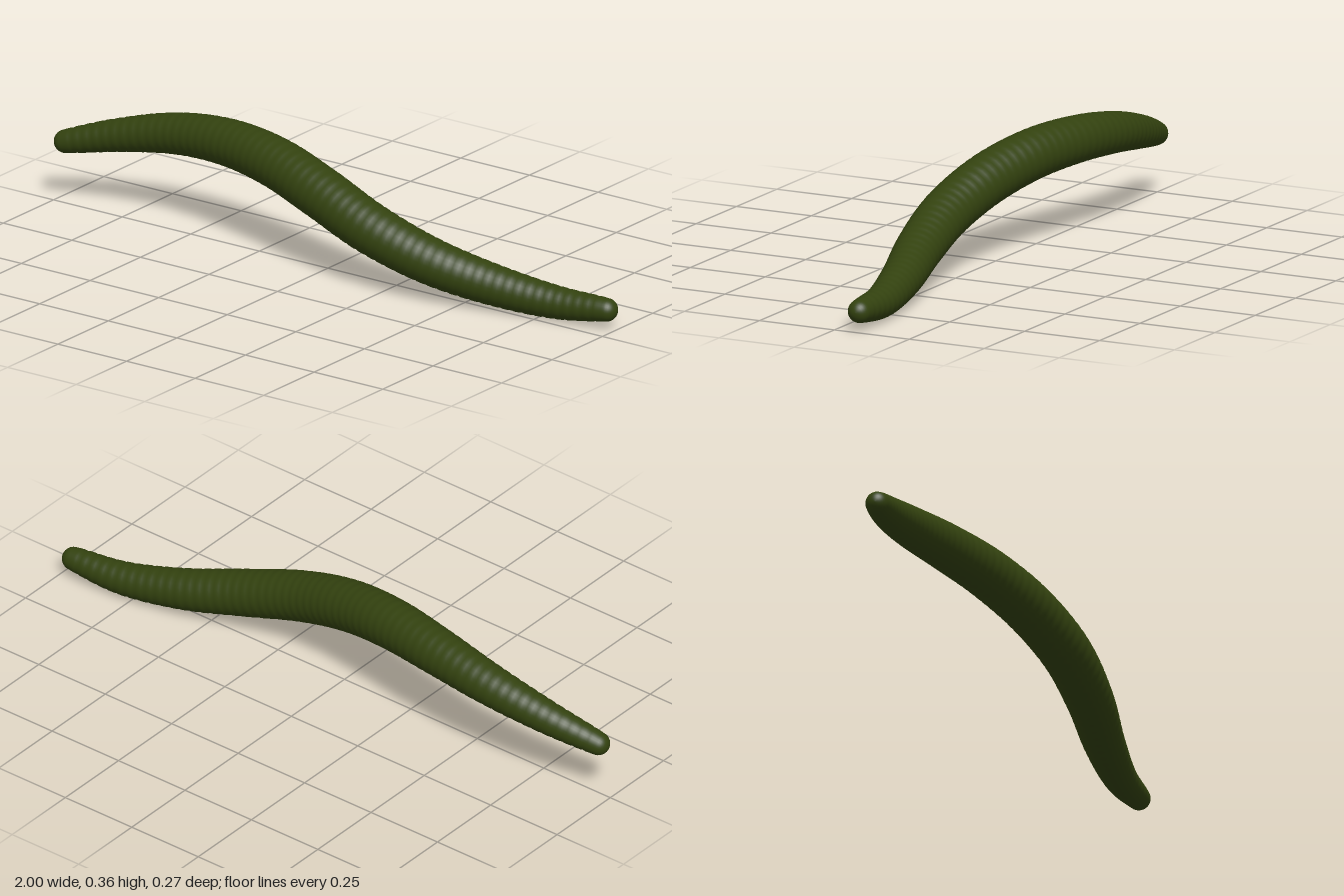
import * as THREE from 'three';

const SEGMENTS = 60; // body rings along the worm
const STEPS = 4; // cross-sections per body ring
const SIDES = 32;

export function createModel() {
  const group = new THREE.Group();
  group.name = 'worm';
  const skin = new THREE.MeshStandardMaterial({ color: 0x33420f });
  skin.name = 'dark olive skin';

  // Centre line, from the right end to the left end
  const spine = new THREE.CatmullRomCurve3([
    [-0.967, 0.192, -0.015], [-0.8, 0.236, -0.052], [-0.6, 0.278, -0.071],
    [-0.4, 0.297, -0.054], [-0.2, 0.289, -0.014], [0, 0.249, 0.031],
    [0.2, 0.187, 0.056], [0.4, 0.125, 0.038], [0.6, 0.079, -0.008],
    [0.8, 0.056, -0.048], [0.966, 0.063, -0.066],
  ].map((p) => new THREE.Vector3(...p)));
  const radiusAt = (t) => 0.035 + 0.043 * Math.pow(Math.max(0, Math.sin(Math.PI * t)), 0.8);

  // Cross-sections: rounded tip, softly ringed body, rounded tip
  const sections = [];
  const addTip = (t, sign, angles) => angles.forEach((a) => {
    const r = radiusAt(t);
    const centre = spine.getPointAt(t).addScaledVector(spine.getTangentAt(t), sign * r * Math.sin(a));
    sections.push({ t, centre, r: Math.max(r * Math.cos(a), 0.0002) });
  });
  const tipAngles = [1, 2, 3, 4, 5, 6, 7, 8].map((i) => (i / 8) * Math.PI / 2);
  addTip(0, -1, [...tipAngles].reverse());
  const count = SEGMENTS * STEPS;
  for (let i = 0; i <= count; i++) {
    const t = i / count;
    const groove = (i % STEPS === 0 && i > 0 && i < count) ? 0.0018 : 0;
    sections.push({ t, centre: spine.getPointAt(t), r: radiusAt(t) - groove });
  }
  addTip(1, 1, tipAngles);

  // Sweep circles along the centre line
  const positions = [];
  const indices = [];
  const up = new THREE.Vector3(0, 1, 0);
  sections.forEach(({ t, centre, r }, i) => {
    const tangent = spine.getTangentAt(t);
    const side = new THREE.Vector3().crossVectors(tangent, up).normalize();
    const top = new THREE.Vector3().crossVectors(side, tangent);
    for (let j = 0; j < SIDES; j++) {
      const a = (j / SIDES) * Math.PI * 2;
      const p = centre.clone().addScaledVector(side, r * Math.cos(a)).addScaledVector(top, r * Math.sin(a));
      positions.push(p.x, p.y, p.z);
      if (i === 0) continue;
      const k = (j + 1) % SIDES;
      const a0 = (i - 1) * SIDES + j, a1 = (i - 1) * SIDES + k;
      const b0 = i * SIDES + j, b1 = i * SIDES + k;
      // side x top points against the tangent, so wind accordingly
      indices.push(a0, b0, a1, a1, b0, b1);
    }
  });
  const geometry = new THREE.BufferGeometry();
  geometry.setAttribute('position', new THREE.Float32BufferAttribute(positions, 3));
  geometry.setIndex(orientOutward(indices, positions, sections[0].centre));
  geometry.computeVertexNormals();

  const body = new THREE.Mesh(geometry, skin);
  body.name = 'ringedBody';
  group.add(body);
  return group;
}

// Flip the winding if the enclosed volume comes out negative
function orientOutward(indices, positions, origin) {
  const corner = (i) => new THREE.Vector3().fromArray(positions, i * 3).sub(origin);
  let volume = 0;
  for (let i = 0; i < indices.length; i += 3) {
    volume += corner(indices[i]).dot(corner(indices[i + 1]).cross(corner(indices[i + 2])));
  }
  return volume < 0 ? indices.reverse() : indices;
}
